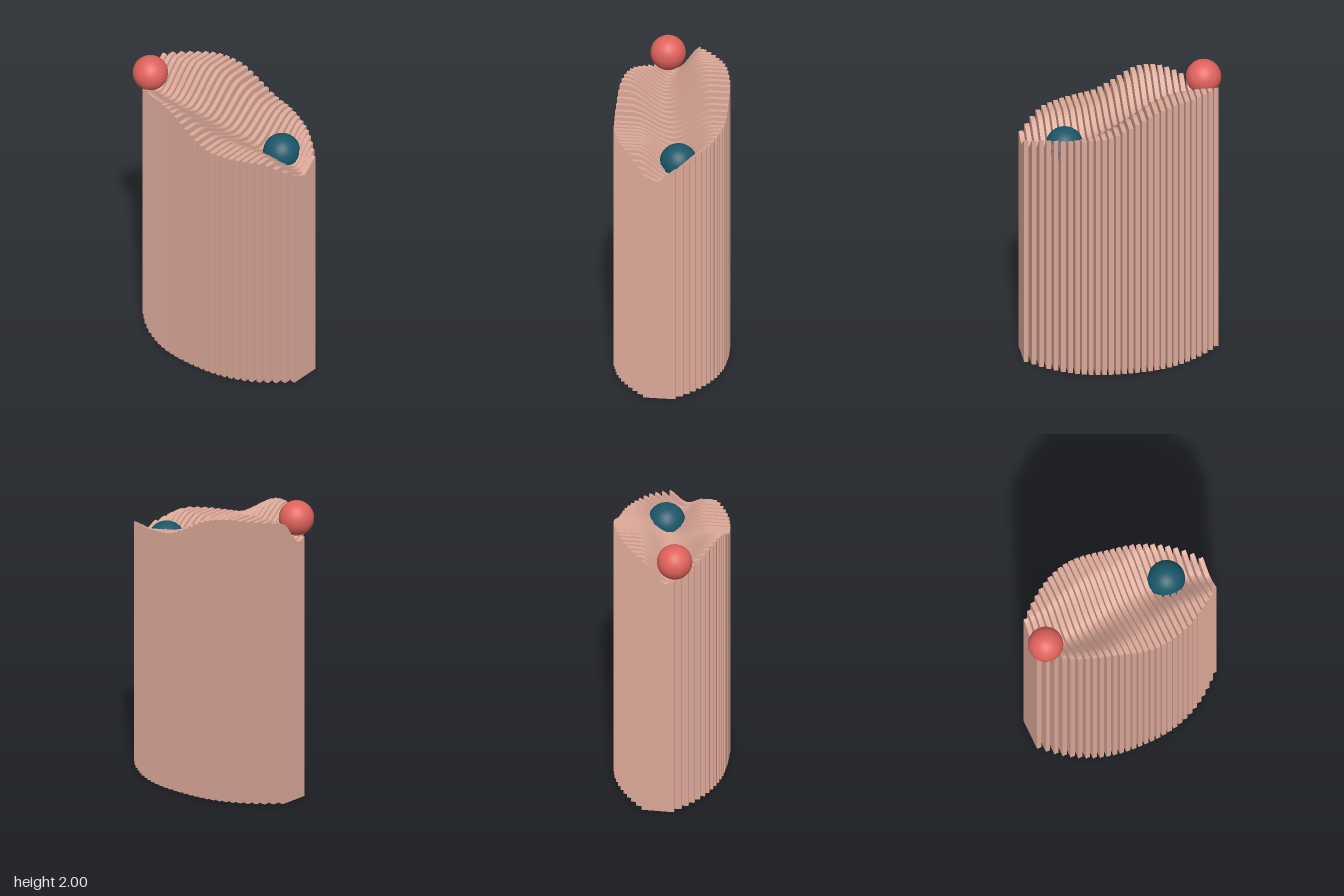
import * as THREE from 'three';
import { toCreasedNormals } from 'three/addons/utils/BufferGeometryUtils.js';

// Wave across each slat, keyed along x:
// [x, front height, front crest z, valley height, valley z, back height, back crest z]
const KEYS = [
  [-0.62, 1.77, 0.12, 1.75, 0.05, 1.91, -0.11],
  [-0.45, 1.83, 0.23, 1.75, 0.08, 1.92, -0.13],
  [-0.30, 1.875, 0.31, 1.74, 0.08, 1.925, -0.18],
  [-0.15, 1.86, 0.32, 1.71, 0.05, 1.89, -0.22],
  [0.00, 1.77, 0.28, 1.66, 0.01, 1.81, -0.26],
  [0.12, 1.71, 0.23, 1.62, -0.02, 1.75, -0.28],
  [0.25, 1.695, 0.19, 1.57, -0.05, 1.73, -0.31],
  [0.40, 1.69, 0.17, 1.54, -0.08, 1.705, -0.29],
  [0.50, 1.68, 0.17, 1.54, -0.06, 1.69, -0.23],
  [0.60, 1.62, 0.14, 1.55, -0.02, 1.66, -0.16],
  [0.66, 1.585, 0.11, 1.56, 0.03, 1.64, -0.11],
];
const wave = new THREE.CubicInterpolant(
  new Float32Array(KEYS.map((k) => k[0])),
  new Float32Array(KEYS.flatMap((k) => k.slice(1))),
  6,
  new Float32Array(6),
);

const COUNT = 30, WIDTH = 0.03, FIRST = -0.597, LAST = 0.641;
const CENTRE = (FIRST + LAST) / 2;

// Half depth of the lens-shaped plan
function halfDepth(x) {
  const t = Math.abs(x - CENTRE) / ((LAST - FIRST) / 2);
  return 0.105 + 0.26 * (1 - Math.pow(Math.min(t, 1), 2.5));
}

// Upright slat: flat sides and base, wavy top edge
function slatGeometry(x) {
  const [hf, zf, hv, zv, hb, zb] = wave.evaluate(x);
  const d = halfDepth(x), steps = 40;
  const height = (z) => (z > zv
    ? hv + (hf - hv) * THREE.MathUtils.smoothstep(z, zv, zf)
    : hv + (hb - hv) * THREE.MathUtils.smoothstep(-z, -zv, -zb));
  const shape = new THREE.Shape();
  shape.moveTo(-d, 0);
  shape.lineTo(d, 0);
  for (let i = 0; i <= steps; i++) {
    const s = d - (2 * d * i) / steps; // shape x is -z
    shape.lineTo(s, height(-s));
  }
  const geo = new THREE.ExtrudeGeometry(shape, { depth: WIDTH, bevelEnabled: false });
  geo.translate(0, 0, -WIDTH / 2);
  geo.rotateY(Math.PI / 2);
  return toCreasedNormals(geo, 0.6);
}

function ball(name, radius, color, x, y, z) {
  const mesh = new THREE.Mesh(
    new THREE.SphereGeometry(radius, 48, 32),
    new THREE.MeshStandardMaterial({ color }),
  );
  mesh.name = name;
  mesh.position.set(x, y, z);
  return mesh;
}

export function createModel() {
  const model = new THREE.Group();
  model.name = 'slattedWaveSculpture';

  // Row of slats
  const slats = new THREE.Group();
  slats.name = 'slats';
  const pink = new THREE.MeshStandardMaterial({ color: 0xdba898 });
  for (let i = 0; i < COUNT; i++) {
    const x = FIRST + ((LAST - FIRST) * i) / (COUNT - 1);
    const slat = new THREE.Mesh(slatGeometry(x), pink);
    slat.name = `slat${i + 1}`;
    slat.position.x = x;
    slats.add(slat);
  }
  model.add(slats);

  // Balls resting on the wave
  model.add(ball('redBall', 0.114, 0xe0625c, -0.55, 1.886, 0.1));
  model.add(ball('tealBall', 0.122, 0x1a5668, 0.39, 1.573, -0.09));
  return model;
}
